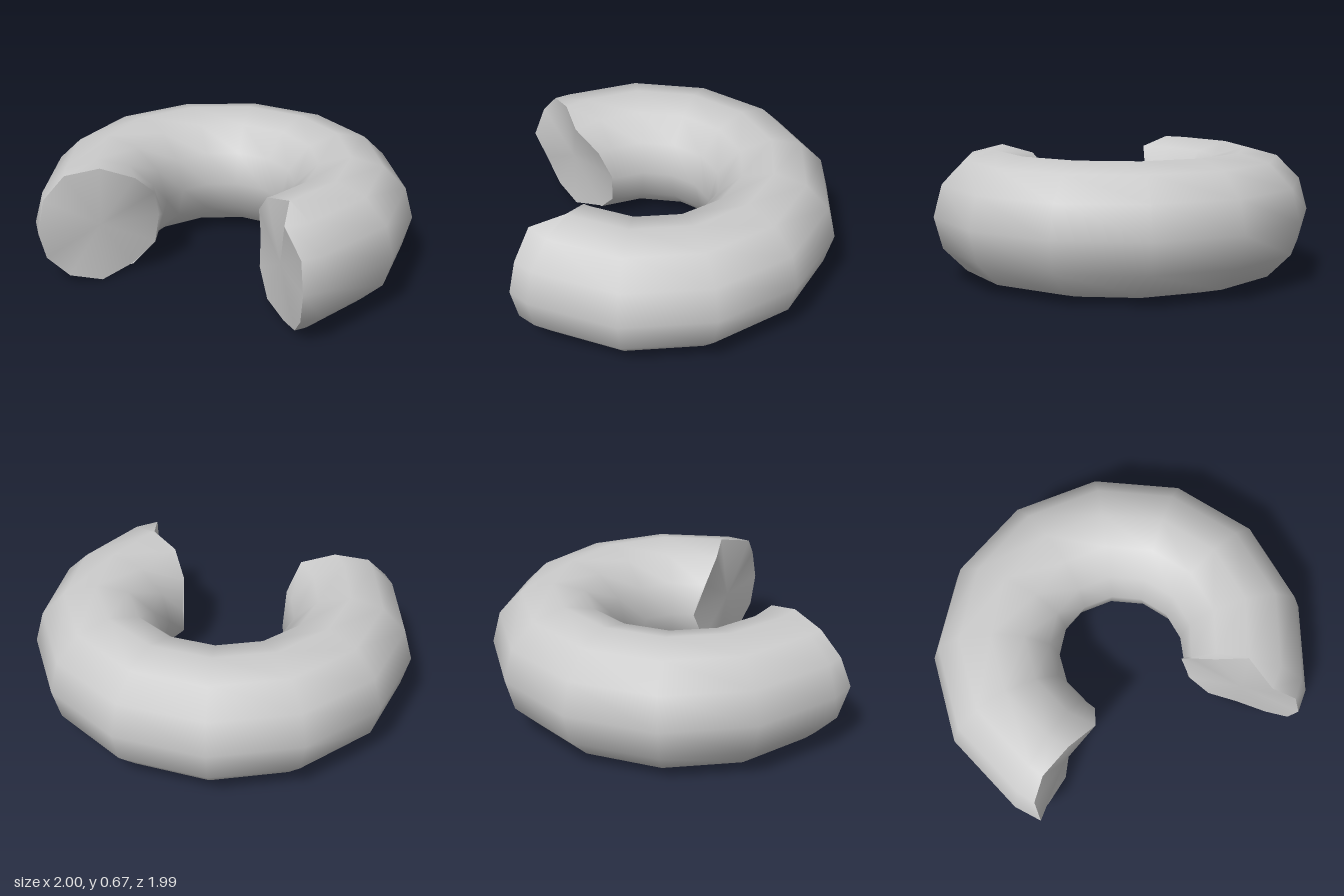
import * as THREE from 'three';

const SIDES = 12, STEP = Math.PI * 2 / 13;
const MID_Y = 0.335, MAJOR = 0.665, MINOR = 0.335, CENTRE_X = -0.005;

// [x, z] of the uneven broken ends, starting at the outer side and going over the top
const FRONT_END = [[-0.01, 0.99], [-0.005, 0.95], [-0.035, 0.82], [0.065, 0.66], [0.02, 0.5], [0.03, 0.38],
  [0.07, 0.315], [0.04, 0.38], [0.03, 0.5], [0.05, 0.66], [0.03, 0.83], [0, 0.95]];
const SIDE_END = [[-1, -0.09], [-0.955, -0.13], [-0.84, -0.12], [-0.67, -0.045], [-0.51, 0.04], [-0.39, -0.01],
  [-0.35, -0.07], [-0.365, -0.1], [-0.49, -0.125], [-0.67, -0.09], [-0.84, -0.12], [-0.955, -0.135]];

const sideHeight = j => MID_Y + MINOR * Math.sin(j / SIDES * Math.PI * 2);
const endRing = points => points.map(([x, z], j) => [x, sideHeight(j), z]);

// Regular cross-section at an angle round the ring
function ringAt(angle) {
  return Array.from({ length: SIDES }, (_, j) => {
    const r = MAJOR + MINOR * Math.cos(j / SIDES * Math.PI * 2);
    return [CENTRE_X + r * Math.cos(angle), sideHeight(j), -r * Math.sin(angle)];
  });
}

function makeMesh(name, points, index, material) {
  const geometry = new THREE.BufferGeometry();
  geometry.setAttribute('position', new THREE.Float32BufferAttribute(points.flat(), 3));
  geometry.setIndex(index);
  geometry.computeVertexNormals();
  const mesh = new THREE.Mesh(geometry, material);
  mesh.name = name;
  return mesh;
}

// Fan closing one end
function makeCap(name, ring, reversed, material) {
  const centre = [0, 1, 2].map(k => ring.reduce((sum, p) => sum + p[k], 0) / SIDES);
  const index = [];
  for (let j = 0; j < SIDES; j++) {
    const next = (j + 1) % SIDES;
    index.push(SIDES, ...(reversed ? [next, j] : [j, next]));
  }
  return makeMesh(name, [...ring, centre], index, material);
}

export function createModel() {
  const group = new THREE.Group();
  group.name = 'openRing';
  const material = new THREE.MeshStandardMaterial({ color: 0xcccccc, side: THREE.DoubleSide });

  // Cross-sections from the front end round to the side end
  const front = endRing(FRONT_END), side = endRing(SIDE_END);
  const rings = [front];
  for (let i = -3; i <= 6; i++) rings.push(ringAt(i * STEP));
  // Keep the first regular section behind the broken end
  rings[1].forEach((p, j) => { p[0] = Math.max(p[0], front[j][0] + 0.002); });
  rings.push(side);

  // Smooth curved body
  const index = [];
  for (let i = 0; i < rings.length - 1; i++) {
    for (let j = 0; j < SIDES; j++) {
      const a = i * SIDES + j, b = i * SIDES + (j + 1) % SIDES;
      const c = a + SIDES, d = b + SIDES;
      index.push(a, c, b, b, c, d);
    }
  }
  group.add(makeMesh('ringBody', rings.flat(), index, material));

  // End faces
  group.add(makeCap('frontEndFace', front, false, material));
  group.add(makeCap('sideEndFace', side, true, material));
  return group;
}
